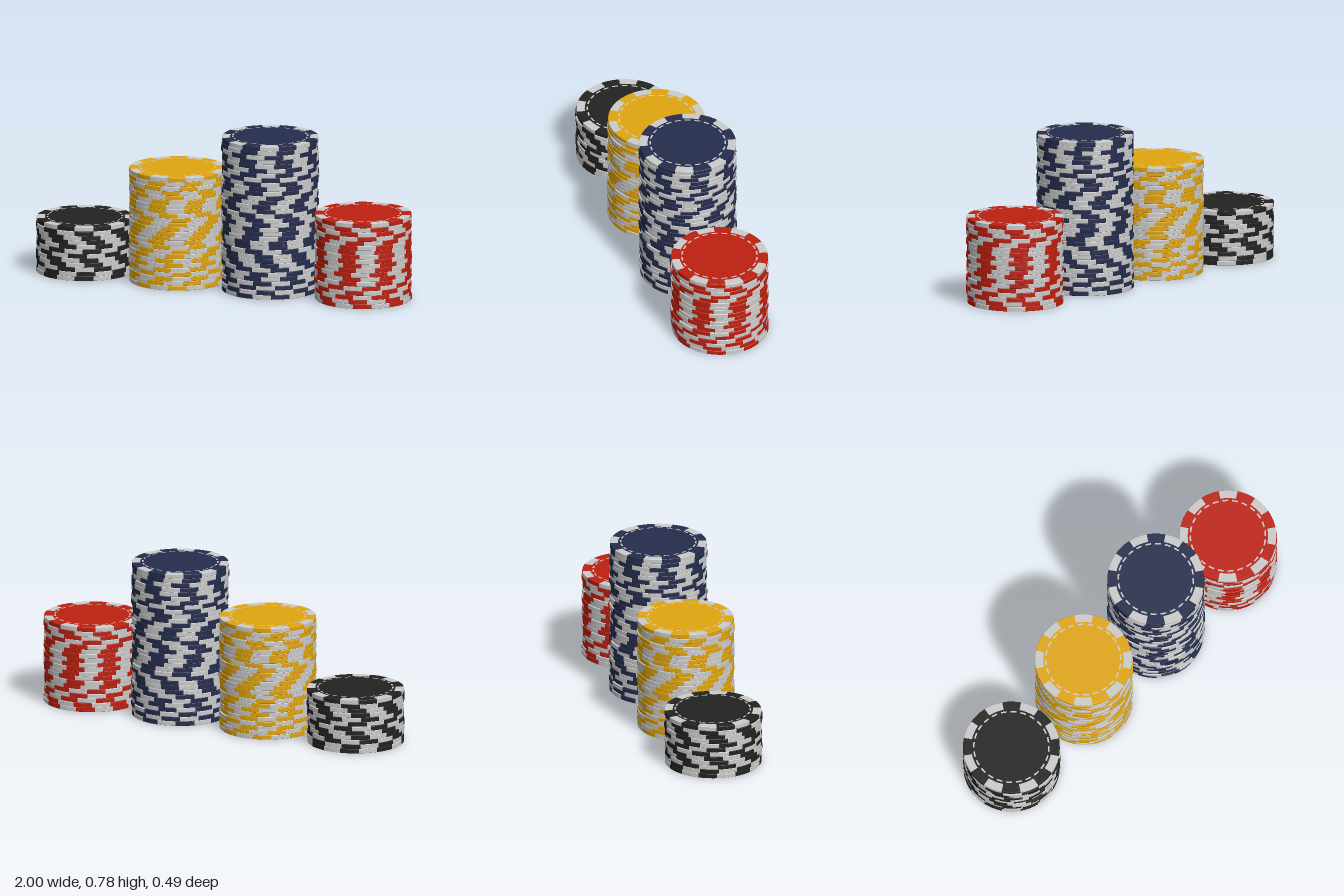
import * as THREE from 'three';
import { mergeGeometries, toCreasedNormals } from 'three/addons/utils/BufferGeometryUtils.js';

const RADIUS = 0.241;
const INNER = 0.2;
const PITCH = 0.023;
const THICK = 0.0226;
const BEVEL = 0.0015;
const SPOTS = 8;
const WEDGE = Math.PI / SPOTS;

// Small seeded generator, 0..1
function makeRandom(seed) {
  let s = seed;
  return () => (s = (s * 16807) % 2147483647) / 2147483647;
}

const crease = (g) => toCreasedNormals(g, 0.5);

// Every second wedge of the chip's rim
function rimWedges(firstAngle) {
  const profile = [
    [INNER, 0], [RADIUS - BEVEL, 0], [RADIUS, BEVEL],
    [RADIUS, THICK - BEVEL], [RADIUS - BEVEL, THICK], [INNER, THICK],
  ].map(([x, y]) => new THREE.Vector2(x, y));
  const wedges = [];
  for (let i = 0; i < SPOTS; i++) {
    wedges.push(crease(new THREE.LatheGeometry(profile, 4, firstAngle + i * 2 * WEDGE, WEDGE)));
  }
  return wedges;
}

// Flat round centre on both faces
function centreDiscs() {
  const top = new THREE.CircleGeometry(INNER, 64).rotateX(-Math.PI / 2).translate(0, THICK, 0);
  const bottom = new THREE.CircleGeometry(INNER, 64).rotateX(Math.PI / 2);
  return [crease(top), crease(bottom)];
}

// Dashed ring printed on one face
function dashedRing(up) {
  const count = 24;
  const step = (2 * Math.PI) / count;
  const dashes = [];
  for (let i = 0; i < count; i++) {
    const dash = new THREE.RingGeometry(0.183, 0.191, 3, 1, i * step, step * 0.6);
    dash.rotateX(up ? -Math.PI / 2 : Math.PI / 2);
    dash.translate(0, up ? THICK + 0.0006 : -0.0003, 0);
    dashes.push(crease(dash));
  }
  return mergeGeometries(dashes);
}

function makeStack(name, x, count, color, topAngle, seed, parts) {
  const random = makeRandom(seed);
  const body = [];
  const inserts = [];
  for (let i = 0; i < count; i++) {
    const isTop = i === count - 1;
    // Each chip is turned and nudged a little
    const angle = isTop ? topAngle : random() * 2 * WEDGE;
    const matrix = new THREE.Matrix4().makeRotationY(angle);
    matrix.setPosition((random() - 0.5) * 0.006, i * PITCH, (random() - 0.5) * 0.008);
    body.push(parts.body.clone().applyMatrix4(matrix));
    inserts.push(parts.inserts.clone().applyMatrix4(matrix));
    if (isTop) inserts.push(parts.topDashes.clone().applyMatrix4(matrix));
    if (i === 0) inserts.push(parts.bottomDashes.clone().applyMatrix4(matrix));
  }
  const stack = new THREE.Group();
  stack.name = name;
  const chips = new THREE.Mesh(mergeGeometries(body), new THREE.MeshStandardMaterial({ color }));
  chips.name = 'chipBodies';
  const spots = new THREE.Mesh(mergeGeometries(inserts), new THREE.MeshStandardMaterial({ color: 0xcccccc }));
  spots.name = 'edgeInserts';
  stack.add(chips, spots);
  stack.position.x = x;
  return stack;
}

export function createModel() {
  const model = new THREE.Group();
  model.name = 'chipStacks';
  const parts = {
    body: mergeGeometries([...rimWedges(WEDGE / 2), ...centreDiscs()]),
    inserts: mergeGeometries(rimWedges(-WEDGE / 2)),
    topDashes: dashedRing(true),
    bottomDashes: dashedRing(false),
  };
  model.add(
    makeStack('blackStack', -0.756, 12, 0x222220, WEDGE, 11, parts),
    makeStack('yellowStack', -0.252, 25, 0xe0a50f, 0, 2203, parts),
    makeStack('blueStack', 0.252, 34, 0x252d4d, WEDGE, 37717, parts),
    makeStack('redStack', 0.756, 19, 0xbe2010, 0, 510101, parts),
  );
  return model;
}
